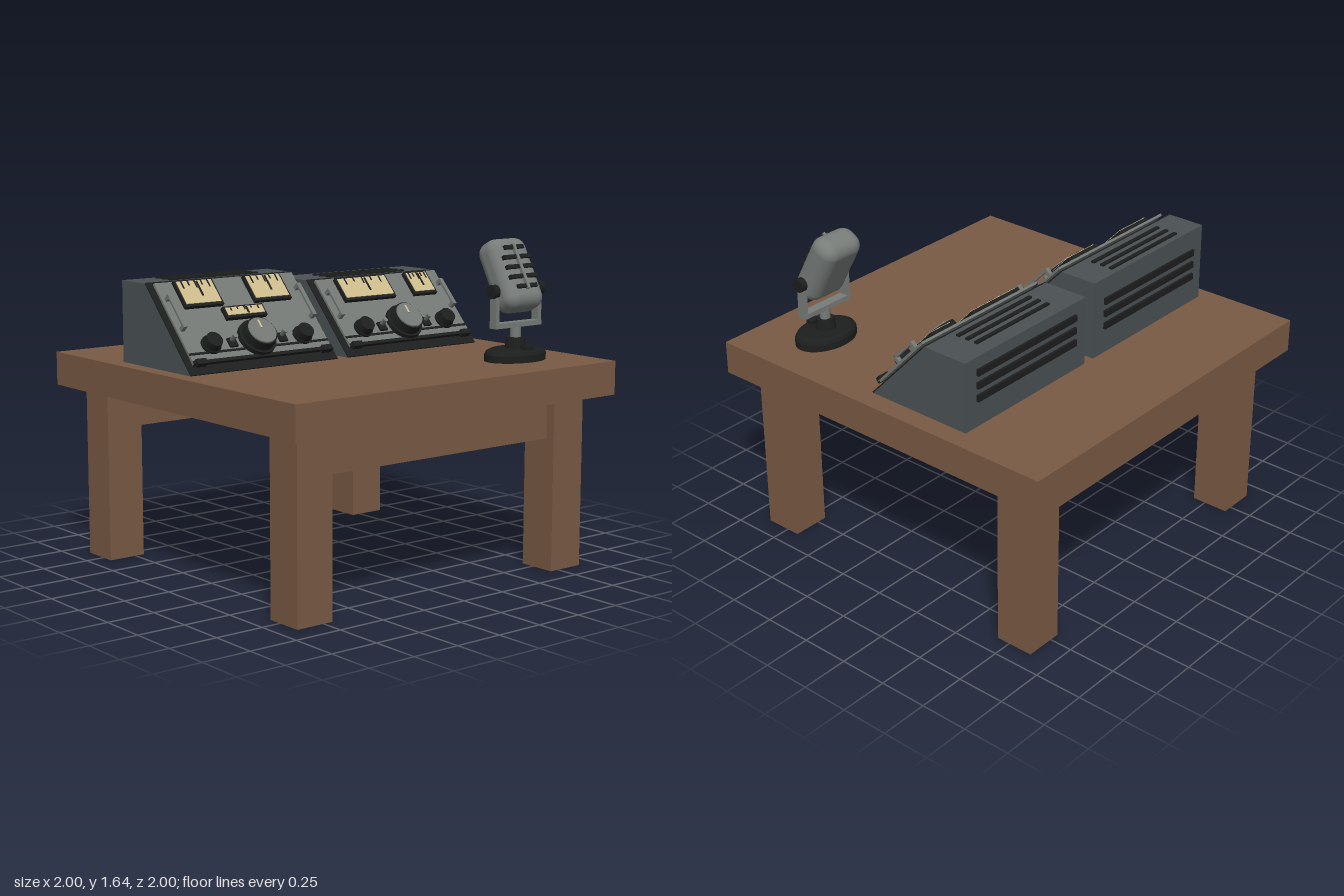
import * as THREE from 'three';
import { RoundedBoxGeometry } from 'three/addons/geometries/RoundedBoxGeometry.js';

const mat = (name, color) => {
  const m = new THREE.MeshStandardMaterial({ color });
  m.name = name;
  return m;
};
const wood = mat('wood', 0x7a5a44);
const casing = mat('casing', 0x4b5254);
const panelGrey = mat('panelGrey', 0x737875);
const micGrey = mat('microphoneGrey', 0x777c79);
const black = mat('black', 0x1d1e1e);
const cream = mat('cream', 0xcdbc8c);

function add(parent, name, geometry, material, x = 0, y = 0, z = 0) {
  const m = new THREE.Mesh(geometry, material);
  m.name = name;
  m.position.set(x, y, z);
  parent.add(m);
  return m;
}
const box = (parent, name, material, w, h, d, x, y, z) =>
  add(parent, name, new THREE.BoxGeometry(w, h, d), material, x, y, z);

// Cylinder standing out of a panel, along local z, from z0 to z1
function disc(parent, name, material, r0, r1, z0, z1, x, y, sides = 24) {
  const g = new THREE.CylinderGeometry(r1, r0, z1 - z0, sides).rotateX(Math.PI / 2);
  return add(parent, name, g, material, x, y, (z0 + z1) / 2);
}

function group(parent, name, x = 0, y = 0, z = 0) {
  const g = new THREE.Group();
  g.name = name;
  g.position.set(x, y, z);
  parent.add(g);
  return g;
}

function buildTable(root) {
  const table = group(root, 'table');
  box(table, 'tableTop', wood, 2, 0.17, 2, 0, 0.965, 0);
  for (const sz of [-1, 1]) {
    for (const sx of [-1, 1]) box(table, 'tableLeg', wood, 0.2, 0.88, 0.2, sx * 0.8, 0.44, sz * 0.78);
    box(table, 'apron', wood, 1.4, 0.21, 0.1, 0, 0.775, sz * 0.78);
  }
}

const TILT = 0.753;

// Meter window: dark bezel, cream scale, ticks and needle
function buildMeter(face, x, s, w, h, z) {
  const meter = group(face, 'meter', x, s, z);
  box(meter, 'meterBezel', black, w, h, 0.022, 0, 0, 0);
  box(meter, 'meterScale', cream, w - 0.02, h - 0.025, 0.004, 0, 0.003, 0.013);
  const top = h / 2 - 0.012;
  for (let i = -2; i <= 2; i++) {
    const len = h * (i % 2 ? 0.16 : 0.26);
    box(meter, 'tick', black, 0.007, len, 0.003, i * w * 0.17, top - len / 2, 0.016);
  }
  box(meter, 'needle', black, 0.009, h * 0.55, 0.004, w * 0.05, top - h * 0.3, 0.017);
}

function buildRadio(root, o) {
  const radio = group(root, o.name, o.x, 1.05, 0);
  const frontTop = 0.09 - o.height * Math.tan(TILT);

  // Wedge-shaped casing, profile in (z, y)
  const side = new THREE.Shape();
  side.moveTo(0.09, 0);
  side.lineTo(frontTop, o.height);
  side.lineTo(-0.49, o.height);
  side.lineTo(-0.49, 0);
  const body = new THREE.ExtrudeGeometry(side, { depth: o.width, bevelEnabled: false });
  body.rotateY(-Math.PI / 2).translate(o.width / 2, 0, 0);
  add(radio, 'casing', body, casing);

  // Ventilation slats on the roof and the back
  for (let i = 0; i < 3; i++) {
    box(radio, 'roofSlat', black, o.roofSlat, 0.014, 0.02, 0, o.height + 0.002, o.slatZ + i * 0.054);
    box(radio, 'backSlat', black, o.backSlat, 0.034, 0.02, 0, 0.15 + i * 0.066, -0.493);
  }

  // Sloped front: local y runs up the slope, local z stands out of it
  const face = group(radio, 'front', 0, 0, 0.09);
  face.rotation.x = -TILT;
  const len = o.height / Math.cos(TILT);
  box(face, 'frontSurround', black, o.width, len, 0.006, 0, len / 2, 0.003);
  const pw = o.width - 0.05;
  const p0 = 0.045, p1 = len - 0.026;
  box(face, 'frontPanel', panelGrey, pw, p1 - p0, 0.012, 0, (p0 + p1) / 2, 0.026);
  box(face, 'lowerLip', black, pw, 0.018, 0.018, 0, p0 + 0.005, 0.029);
  box(face, 'trimLine', black, pw, 0.012, 0.005, 0, 0.1, 0.033);
  for (const sx of [-1, 1]) {
    // Mounting posts hidden behind the panel
    box(face, 'panelPost', black, 0.03, 0.03, 0.02, sx * 0.2, 0.25, 0.014);
    box(face, 'foot', black, 0.06, 0.03, 0.03, sx * (pw / 2 - 0.04), p0 + 0.002, 0.035);
    // Lifting handle
    const hx = sx * (pw / 2 - 0.028);
    box(face, 'handle', panelGrey, 0.022, o.handle, 0.012, hx, o.handleY, 0.064);
    for (const sy of [-1, 1])
      box(face, 'handleEnd', panelGrey, 0.022, 0.02, 0.034, hx, o.handleY + sy * (o.handle / 2 - 0.01), 0.045);
    // Side knob
    disc(face, 'knobSkirt', black, 0.052, 0.052, 0.03, 0.045, sx * 0.275, 0.14);
    disc(face, 'knob', black, 0.047, 0.042, 0.045, 0.085, sx * 0.275, 0.14);
    // Toggle switch
    box(face, 'switchPlate', black, 0.046, 0.05, 0.014, sx * 0.15, 0.14, 0.037);
    disc(face, 'switchLever', panelGrey, 0.01, 0.014, 0.04, 0.085, sx * 0.15, 0.15, 12);
  }

  // Main tuning dial
  disc(face, 'dialSkirt', black, 0.102, 0.1, 0.03, 0.055, 0, 0.15, 32);
  disc(face, 'dialKnob', black, 0.088, 0.082, 0.055, 0.1, 0, 0.15, 32);
  disc(face, 'dialFace', panelGrey, 0.076, 0.074, 0.1, 0.106, 0, 0.15, 32);
  box(face, 'dialPointer', cream, 0.01, 0.045, 0.004, 0, 0.185, 0.108);

  for (const [x, s, w, h, z] of o.meters) buildMeter(face, x, s, w, h, z);
}

function buildMicrophone(root) {
  const mic = group(root, 'microphone', 0.645, 1.05, 0.655);

  // Oval base and stem
  const baseProfile = [[0, 0], [0.125, 0], [0.125, 0.035], [0.118, 0.05], [0.1, 0.06], [0, 0.06]];
  const base = new THREE.LatheGeometry(baseProfile.map(p => new THREE.Vector2(...p)), 32);
  add(mic, 'base', base.toNonIndexed().scale(1.4, 1, 1), black).geometry.computeVertexNormals();
  add(mic, 'collar', new THREE.CylinderGeometry(0.045, 0.052, 0.055, 24), black, 0, 0.087, 0);
  add(mic, 'stem', new THREE.CylinderGeometry(0.027, 0.027, 0.08, 20), micGrey, 0, 0.15, 0);
  box(mic, 'talkSwitch', black, 0.06, 0.022, 0.04, 0, 0.068, 0.085);

  // Yoke with pivot knobs
  box(mic, 'yokeBar', micGrey, 0.31, 0.025, 0.05, 0, 0.178, 0);
  for (const sx of [-1, 1]) {
    box(mic, 'yokeArm', micGrey, 0.022, 0.2, 0.045, sx * 0.144, 0.265, 0);
    const pivot = new THREE.CylinderGeometry(0.035, 0.035, 0.032, 20).rotateZ(Math.PI / 2);
    add(mic, 'pivotKnob', pivot, black, sx * 0.155, 0.348, 0);
    const pin = new THREE.CylinderGeometry(0.014, 0.014, 0.05, 12).rotateZ(Math.PI / 2);
    add(mic, 'pivotPin', pin, black, sx * 0.125, 0.348, 0);
  }

  // Head leaning back, with slatted grille
  const head = group(mic, 'head', 0, 0.415, -0.04);
  head.rotation.x = -0.5;
  add(head, 'headShell', new RoundedBoxGeometry(0.245, 0.375, 0.155, 5, 0.062), micGrey);
  for (let i = 0; i < 5; i++)
    box(head, 'grilleSlat', black, i === 0 || i === 4 ? 0.13 : 0.18, 0.02, 0.02, 0, -0.09 + i * 0.052, 0.08);
  box(head, 'grilleRib', micGrey, 0.016, 0.24, 0.018, 0, 0.014, 0.086);
}

export function createModel() {
  const root = new THREE.Group();
  root.name = 'radioDesk';
  buildTable(root);
  // Meters: x, position up the slope, width, height, stand-off
  buildRadio(root, {
    name: 'largeRadio', x: -0.4775, width: 0.885, height: 0.405,
    roofSlat: 0.535, backSlat: 0.73, slatZ: -0.45, handle: 0.2, handleY: 0.335,
    meters: [[-0.207, 0.44, 0.225, 0.16, 0.041], [0.207, 0.44, 0.225, 0.16, 0.041], [0, 0.305, 0.24, 0.07, 0.045]],
  });
  buildRadio(root, {
    name: 'smallRadio', x: 0.4645, width: 0.865, height: 0.36,
    roofSlat: 0.52, backSlat: 0.71, slatZ: -0.402, handle: 0.17, handleY: 0.3,
    meters: [[-0.13, 0.382, 0.335, 0.145, 0.041], [0.245, 0.382, 0.155, 0.145, 0.041]],
  });
  buildMicrophone(root);
  return root;
}
